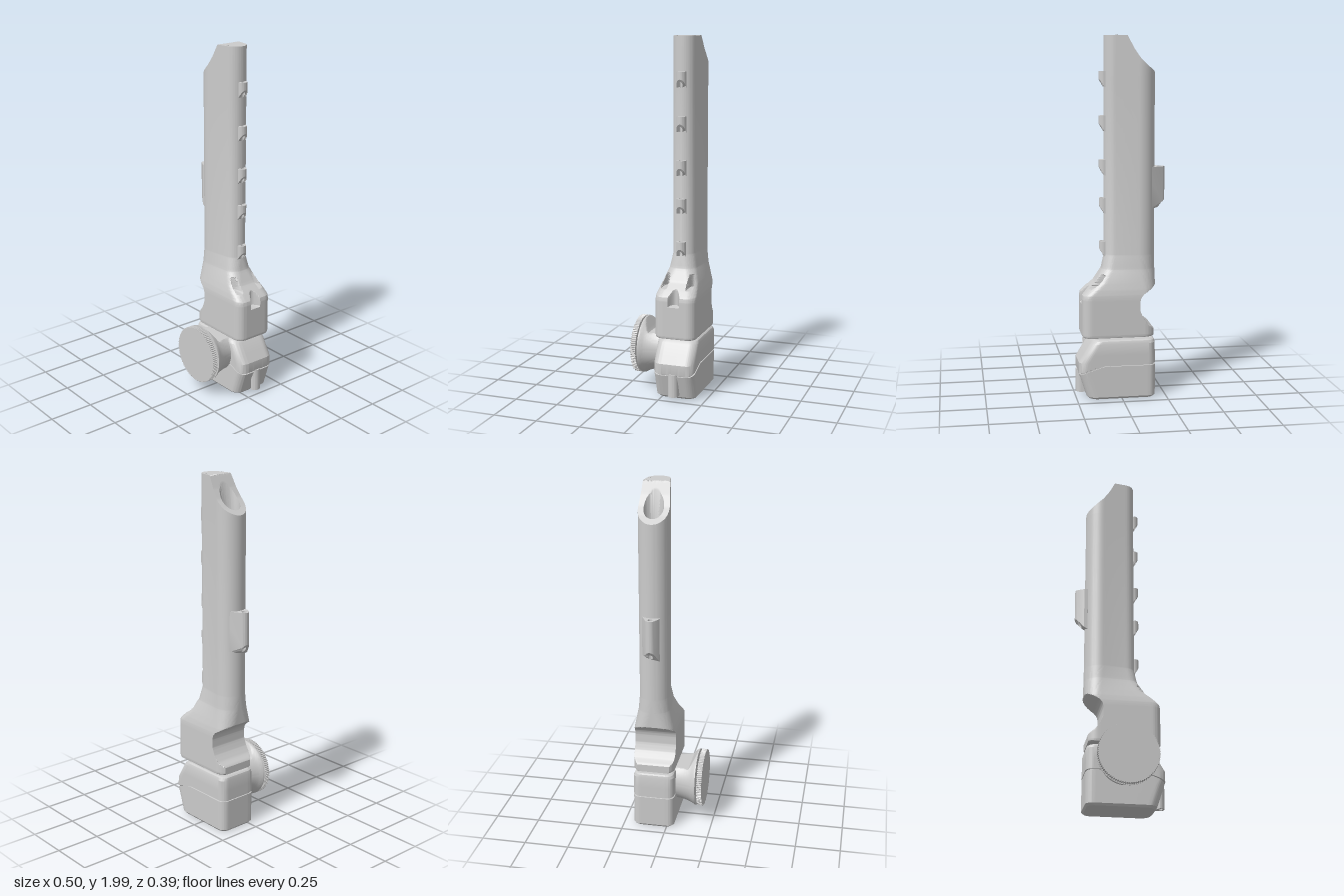
import * as THREE from 'three';
import { toCreasedNormals } from 'three/addons/utils/BufferGeometryUtils.js';

const ZC = -0.077; // centre plane of tube and housings
const grey = new THREE.MeshStandardMaterial({ color: 0xcccccc, side: THREE.DoubleSide });
const { lerp } = THREE.MathUtils;

// linear lookup in rows of [key, ...values], keys ascending
function table(rows, k) {
  if (k <= rows[0][0]) return rows[0].slice(1);
  for (let i = 1; i < rows.length; i++) {
    const a = rows[i - 1], b = rows[i];
    if (k <= b[0]) return a.slice(1).map((v, j) => lerp(v, b[j + 1], (k - a[0]) / (b[0] - a[0])));
  }
  return rows[rows.length - 1].slice(1);
}

// section: hull of a left and a right pair of corner circles, counterclockwise from above
function section([xL, xR, wL, wR, rL, rR]) {
  const cL = xL + rL, cR = xR - rR, t = (wL - wR) / (cR - cL);
  const pts = [], ARC = 16, RUN = 24;
  const corner = (cx, h, r, a0, a1) => {
    for (let i = 0; i <= ARC; i++) {
      const a = lerp(a0, a1, i / ARC);
      pts.push([cx + r * Math.cos(a), h + r * Math.sin(a)]);
    }
  };
  const run = ([x0, y0], [x1, y1]) => {
    for (let i = 1; i < RUN; i++) pts.push([lerp(x0, x1, i / RUN), lerp(y0, y1, i / RUN)]);
  };
  const hL = wL - rL, hR = wR - rR, q = Math.PI / 2, last = () => pts[pts.length - 1];
  const top = q - t;
  corner(cR, hR, rR, 0, top);
  run(last(), [cL + rL * Math.cos(top), hL + rL * Math.sin(top)]);
  corner(cL, hL, rL, top, 2 * q);
  run(last(), [cL - rL, -hL]);
  corner(cL, -hL, rL, 2 * q, 4 * q - top);
  run(last(), [cR + rR * Math.cos(top), -hR - rR * Math.sin(top)]);
  corner(cR, -hR, rR, -top, 0);
  run(last(), [xR, hR]);
  return pts;
}

// skin over rings of [x, y, z]
function skin(rings, crease = 0.5) {
  const pos = [], n = rings[0].length;
  const A = new THREE.Vector3(), B = new THREE.Vector3(), C = new THREE.Vector3();
  const tri = (a, b, c) => {
    A.fromArray(a); B.fromArray(b).sub(A); C.fromArray(c).sub(A);
    if (B.cross(C).length() > 1e-9) pos.push(...a, ...b, ...c);
  };
  for (let i = 0; i + 1 < rings.length; i++) for (let j = 0; j < n; j++) {
    const k = (j + 1) % n, lo = rings[i], hi = rings[i + 1];
    tri(lo[j], lo[k], hi[k]);
    tri(lo[j], hi[k], hi[j]);
  }
  const g = new THREE.BufferGeometry();
  g.setAttribute('position', new THREE.Float32BufferAttribute(pos, 3));
  return toCreasedNormals(g, crease);
}

const collapse = (ring, x) => ring.map(p => [x, p[1], ZC]);

// tube flaring into the upper housing, with slanted mouth and bore
function upperGeometry() {
  const stations = [ // y, xL, xR, half widths, corner radii
    [0.355, -0.19, 0.212, 0.115, 0.115, 0.07, 0.05],
    [0.362, -0.196, 0.216, 0.118, 0.118, 0.07, 0.05],
    [0.57, -0.196, 0.216, 0.118, 0.118, 0.07, 0.05],
    [0.59, -0.196, 0.212, 0.117, 0.117, 0.07, 0.05],
    [0.62, -0.196, 0.183, 0.113, 0.111, 0.073, 0.053],
    [0.66, -0.196, 0.14, 0.105, 0.1, 0.077, 0.057],
    [0.73, -0.196, 0.1, 0.091, 0.077, 0.082, 0.061],
    [0.81, -0.196, 0.085, 0.084, 0.063, 0.084, 0.063],
  ];
  // concave relief on the right side
  const relief = [[0.355, -0.18], [0.4, -0.18], [0.425, -0.145], [0.46, -0.118], [0.5, -0.102],
    [0.55, -0.1], [0.575, -0.106], [0.595, -0.122], [0.64, -0.196]];
  // screw pockets: z offset, half width, floor, top, back wall x
  const pockets = [[0, 0.034, 0.54, 0.63, 0.172], [0.073, 0.018, 0.63, 0.7, 0.08], [-0.073, 0.018, 0.63, 0.7, 0.08]];
  const cut = x => table([[-0.196, 1.803], [-0.15, 1.838], [-0.105, 1.88], [-0.07, 1.932], [-0.035, 2]], x)[0];
  const shape = y => section(table(stations, y)).map(([x, s]) => {
    x = Math.max(x, table(relief, y)[0]);
    for (const [c, w, y0, y1, wall] of pockets) {
      const d = Math.abs(s - c) / w;
      if (d < 1 && y > y0 && y < y1) x = Math.min(x, wall + 0.045 * d * d);
    }
    return [x, y, ZC - s];
  });
  const rings = [];
  for (let i = 0; i <= 76; i++) rings.push(shape(lerp(0.355, 0.811, i / 76)));
  rings.unshift(collapse(rings[0], 0));
  const rim = shape(1).map(([x, , z]) => [x, cut(x), z]);
  rings.push(shape(1.78), rim);
  // circle matched to the rim points by direction
  const circle = (cx, r, y) => rim.map(([x, , z]) => {
    const a = Math.atan2(z - ZC, x + 0.112), px = cx + r * Math.cos(a);
    return [px, y ?? cut(px), ZC + r * Math.sin(a)];
  });
  const mouth = circle(-0.112, 0.054);
  for (let i = 1; i <= 24; i++) rings.push(rim.map((p, j) => {
    const x = lerp(p[0], mouth[j][0], i / 24);
    return [x, cut(x), lerp(p[2], mouth[j][2], i / 24)];
  }));
  rings.push(circle(-0.13, 0.04, 1.72), circle(-0.13, 0.04, 1.3));
  rings.push(collapse(rings[rings.length - 1], -0.13));
  return skin(rings);
}

// lower housing with a seam groove that dips toward the left
function lowerGeometry() {
  const stations = [
    [0.008, -0.18, 0.18, 0.108, 0.108, 0.04, 0.05],
    [0.02, -0.19, 0.193, 0.118, 0.118, 0.04, 0.05],
    [0.14, -0.19, 0.232, 0.118, 0.118, 0.04, 0.05],
    [0.18, -0.19, 0.246, 0.118, 0.118, 0.04, 0.05],
    [0.205, -0.19, 0.243, 0.118, 0.118, 0.04, 0.05],
    [0.32, -0.188, 0.172, 0.118, 0.118, 0.04, 0.05],
    [0.335, -0.184, 0.158, 0.112, 0.112, 0.04, 0.05],
    [0.341, -0.176, 0.148, 0.104, 0.104, 0.04, 0.05],
  ];
  const ring = (y, inset = 0, dip = 0) => {
    const pts = section(table(stations, y));
    return pts.map(([x, s]) => {
      const yy = y - dip * THREE.MathUtils.clamp((x - 0.1) / 0.14, 0, 1);
      const edge = table(stations, yy)[1] - table(stations, y)[1];
      const px = x > 0.1 ? x + edge * (x - 0.1) / 0.14 : x;
      return [px * (1 - inset / 0.2), yy, ZC - s * (1 - inset / 0.118)];
    });
  };
  const rings = [0.008, 0.02, 0.08, 0.13].map(y => ring(y));
  rings.push(ring(0.194, 0, 0.045), ring(0.195, 0.006, 0.045), ring(0.201, 0.006, 0.045), ring(0.202, 0, 0.045));
  rings.push(...[0.215, 0.26, 0.32, 0.335, 0.341].map(y => ring(y)));
  rings.unshift(collapse(rings[0], 0));
  rings.push(collapse(rings[rings.length - 1], 0));
  return skin(rings, 0.4);
}

// upright eyelet: plan outline with a hole, underside rising by rise(x)
function eyelet(outline, hx, hr, y0, y1, rise) {
  outline.holes.push(new THREE.Path().absarc(hx, 0, hr, 0, Math.PI * 2, true));
  const g = new THREE.ExtrudeGeometry(outline, { depth: y1 - y0, bevelEnabled: false, curveSegments: 12 });
  g.rotateX(-Math.PI / 2).translate(0, y0, ZC);
  const p = g.attributes.position;
  for (let i = 0; i < p.count; i++) if (p.getY(i) < y0 + 1e-4) p.setY(i, y0 + Math.max(0, rise(p.getX(i))));
  return toCreasedNormals(g, 0.5);
}

export function createModel() {
  const group = new THREE.Group();
  const add = (name, geometry) => {
    const m = new THREE.Mesh(geometry, grey);
    m.name = name;
    group.add(m);
    return m;
  };
  add('tubeAndUpperHousing', upperGeometry());
  add('lowerHousing', lowerGeometry());
  add('pivotPin', new THREE.CylinderGeometry(0.05, 0.05, 0.05, 32)).position.set(0, 0.348, ZC);

  // row of guide eyelets along the left edge
  const rounded = (back, cx, r) => {
    const s = new THREE.Shape();
    s.moveTo(back, -r);
    s.absarc(cx, 0, r, -Math.PI / 2, Math.PI / 2, false);
    s.lineTo(back, r);
    return s;
  };
  for (const top of [1.81, 1.57, 1.33, 1.12, 0.88])
    add('guideEyelet', eyelet(rounded(0.07, 0.085, 0.027), 0.094, 0.01, top - 0.085, top, x => (x - 0.085) * 1.6));
  add('lowerEyelet', eyelet(rounded(0.18, 0.216, 0.03), 0.225, 0.012, 0.03, 0.16, () => 0));

  // larger eyelet on the right edge
  const ear = new THREE.Shape();
  ear.moveTo(-0.12, 0.083);
  ear.lineTo(-0.24, 0.0235);
  ear.absarc(-0.225, 0, 0.028, 2.13, 4.1, false);
  ear.lineTo(-0.205, -0.043);
  ear.lineTo(-0.185, -0.043);
  add('sideEyelet', eyelet(ear, -0.225, 0.013, 1.04, 1.29, x => (-0.195 - x) * 1.25));

  // end screws
  for (const s of [-1, 1])
    add('endScrew', new THREE.CylinderGeometry(0.008, 0.008, 0.01, 20)).position.set(0.022, 1.996, ZC + s * 0.05);

  // flared neck, flattened on top beside the housing
  const flare = new THREE.SplineCurve([[0.131, 0.02], [0.131, 0.05], [0.137, 0.085], [0.148, 0.12], [0.163, 0.148]]
    .map(p => new THREE.Vector2(...p))).getPoints(24);
  const neck = new THREE.LatheGeometry([...flare, new THREE.Vector2(0.164, 0.156), new THREE.Vector2(0, 0.156)], 96);
  neck.rotateX(Math.PI / 2).translate(0.012, 0.25, 0);
  const p = neck.attributes.position;
  for (let i = 0; i < p.count; i++) {
    const limit = 0.345 + Math.max(0, p.getZ(i) - 0.11) * 1.75;
    p.setY(i, Math.min(p.getY(i), limit));
  }
  add('neck', toCreasedNormals(neck, 0.5));

  // knurled knob on its spindle
  const spindle = new THREE.CylinderGeometry(0.05, 0.05, 0.03, 32).rotateX(Math.PI / 2);
  add('spindle', spindle).position.set(0.012, 0.25, 0.16);
  const knurl = new THREE.Shape(), TEETH = 90;
  for (let i = 0; i < TEETH * 4; i++) {
    const a = i / (TEETH * 4) * Math.PI * 2, r = i % 4 < 2 ? 0.164 : 0.16;
    knurl[i ? 'lineTo' : 'moveTo'](r * Math.cos(a), r * Math.sin(a));
  }
  const knob = new THREE.ExtrudeGeometry(knurl, { depth: 0.029, bevelEnabled: false });
  add('knob', knob).position.set(0.012, 0.25, 0.166);
  return group;
}
